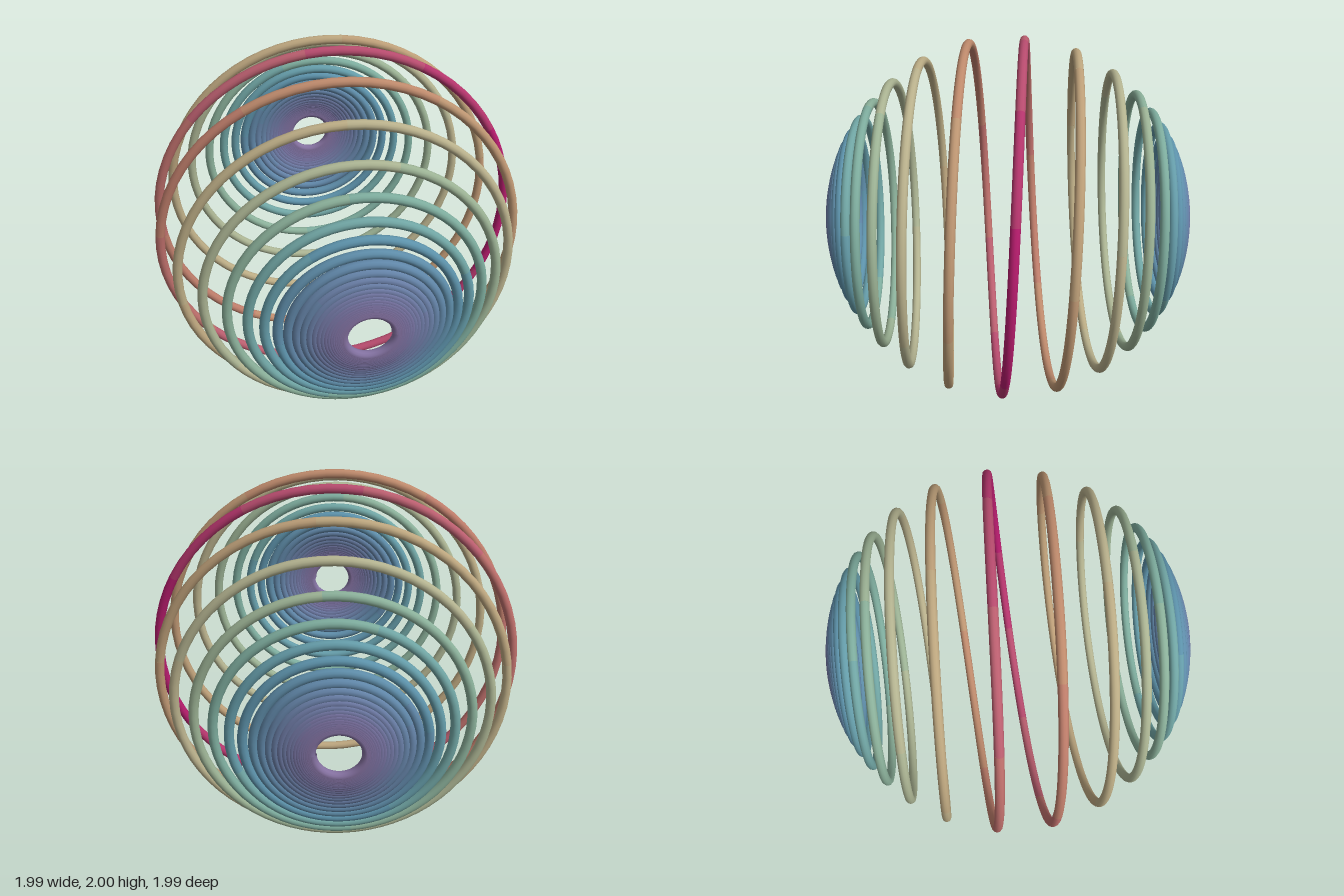
import * as THREE from 'three';

const RADIUS = 0.9786;   // sphere the wire is wound on
const WIRE = 0.0245;     // wire thickness (radius)
const PITCH = 0.05;      // how fast the wire climbs towards the poles
const TURNS = 24;        // windings on each half

// Part of a spherical spiral between two turn numbers (0 is the equator).
class SphereSpiral extends THREE.Curve {
  constructor(from, to) {
    super();
    this.from = from;
    this.to = to;
  }
  getPoint(u, target = new THREE.Vector3()) {
    const t = 2 * Math.PI * THREE.MathUtils.lerp(this.from, this.to, u);
    const r = RADIUS / Math.hypot(1, PITCH * t);
    return target.set(r * Math.cos(t), r * Math.sin(t), -r * PITCH * t);
  }
  // Even steps in angle keep the small windings as round as the large ones.
  getUtoTmapping(u) {
    return u;
  }
  getTangent(u, target = new THREE.Vector3()) {
    const d = 1e-4;
    return target.copy(this.getPoint(u + d)).sub(this.getPoint(u - d)).normalize();
  }
}

// Colour along the wire: [turns from the equator, colour]
const STOPS = [
  [0, 0xb3006b], [0.15, 0xb43a6c], [0.3, 0xba5a70], [0.5, 0xbc7368],
  [0.75, 0xbe8a6c], [1, 0xbc9a74], [1.5, 0xbcaa82], [2, 0xb8b28e],
  [2.5, 0xaeb492], [3, 0x9cb294], [3.5, 0x8ab09a], [4.2, 0x78aa9e],
  [5, 0x68a0a8], [6, 0x5c92aa], [8, 0x6086a8], [11, 0x6c7ca6],
  [16, 0x7a72a2], [24, 0x84709f],
];

function colorAt(turns) {
  let i = 1;
  while (i < STOPS.length - 1 && STOPS[i][0] < turns) i++;
  const [a, ca] = STOPS[i - 1], [b, cb] = STOPS[i];
  return new THREE.Color(ca).lerp(new THREE.Color(cb), (turns - a) / (b - a));
}

export function createModel() {
  const model = new THREE.Group();
  model.name = 'sphericalSpiral';

  // Short pieces near the equator, where the colour changes fastest.
  const breaks = [0];
  for (let step = 0.08; breaks.at(-1) < TURNS; step *= 1.13) {
    breaks.push(Math.min(TURNS, breaks.at(-1) + step));
  }

  for (const side of [1, -1]) {
    const half = new THREE.Group();
    half.name = side > 0 ? 'backCoil' : 'frontCoil';
    for (let i = 1; i < breaks.length; i++) {
      const a = breaks[i - 1], b = breaks[i];
      const path = side > 0 ? new SphereSpiral(a, b) : new SphereSpiral(-b, -a);
      const segments = Math.max(4, Math.ceil((b - a) * 64));
      const wire = new THREE.Mesh(
        new THREE.TubeGeometry(path, segments, WIRE, 12),
        new THREE.MeshStandardMaterial({ color: colorAt((a + b) / 2), side: THREE.DoubleSide }),
      );
      wire.name = 'wire' + i;
      half.add(wire);
    }
    model.add(half);
  }

  // Stand on the ground, with the widest winding centred.
  model.position.set(-0.006, 1, 0);
  return model;
}
